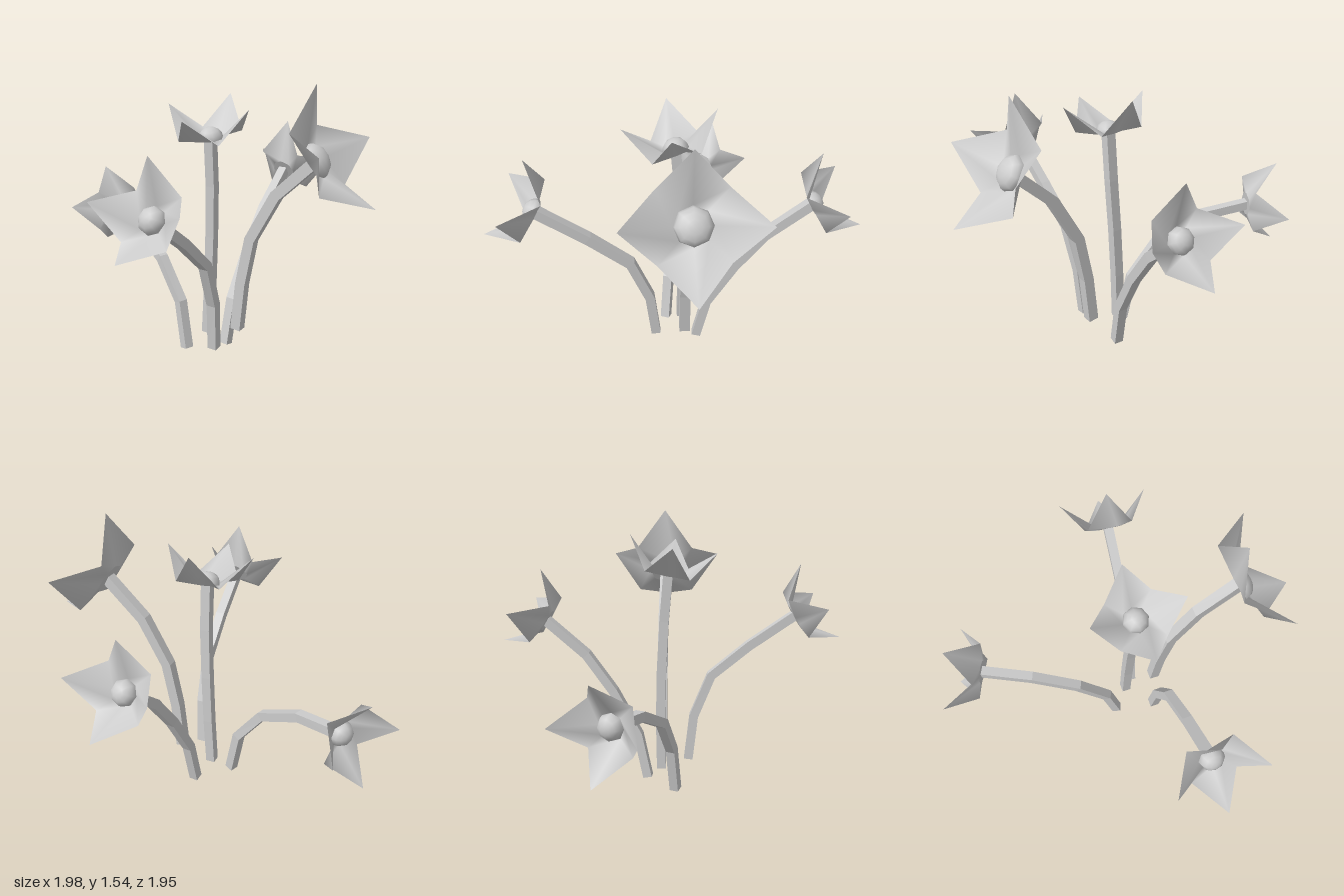
import * as THREE from 'three';

const material = new THREE.MeshStandardMaterial({ color: 0xcccccc });
const flatMaterial = new THREE.MeshStandardMaterial({ color: 0xcccccc, flatShading: true });
const petalMaterial = new THREE.MeshStandardMaterial({ color: 0xcccccc, side: THREE.DoubleSide });

const BASE = -0.012; // height of the cup's inner ring below the petal valleys
const CORE = 0.068; // radius of the flower's centre

function meshGeometry(positions, indices) {
  const g = new THREE.BufferGeometry();
  g.setAttribute('position', new THREE.Float32BufferAttribute(positions, 3));
  g.setIndex(indices);
  g.computeVertexNormals();
  return g;
}

// Square stem swept along a bent path
function makeStem(path, side, half) {
  const pts = path.map((p) => new THREE.Vector3(...p));
  const last = pts.length - 1;
  const pos = [], idx = [];
  pts.forEach((p, i) => {
    const before = pts[Math.max(i - 1, 0)], after = pts[Math.min(i + 1, last)];
    const tangent = after.clone().sub(before).normalize();
    const b = tangent.clone().cross(side).normalize();
    const s = b.clone().cross(tangent);
    for (const [u, v] of [[1, 1], [-1, 1], [-1, -1], [1, -1]]) {
      pos.push(...p.clone().addScaledVector(s, u * half).addScaledVector(b, v * half).toArray());
    }
    if (i === last) return;
    for (let j = 0; j < 4; j++) {
      const a = i * 4 + j, c = i * 4 + ((j + 1) % 4);
      idx.push(a, c, c + 4, a, c + 4, a + 4);
    }
  });
  const e = last * 4;
  idx.push(0, 3, 2, 0, 2, 1, e, e + 1, e + 2, e, e + 2, e + 3);
  const mesh = new THREE.Mesh(meshGeometry(pos, idx).toNonIndexed(), flatMaterial);
  mesh.geometry.computeVertexNormals();
  mesh.name = 'stem';
  return mesh;
}

// Four pointed petals: an inner ring and an outer ring alternating tips and valleys
function petalGeometry() {
  const pos = [], idx = [];
  for (let i = 0; i < 8; i++) {
    const a = (i * Math.PI) / 4;
    const tip = i % 2 === 0;
    const r = tip ? 0.243 : 0.173;
    pos.push(CORE * Math.cos(a), BASE, CORE * Math.sin(a));
    pos.push(r * Math.cos(a), tip ? 0.16 : 0, r * Math.sin(a));
    const p = i * 2, q = ((i + 1) % 8) * 2;
    idx.push(p, q, q + 1, p, q + 1, p + 1);
  }
  return meshGeometry(pos, idx);
}

function makeBlossom(centre, axis, up, width) {
  const blossom = new THREE.Group();
  blossom.name = 'blossom';

  const petals = new THREE.Mesh(petalGeometry(), petalMaterial);
  petals.name = 'petals';

  // Domed centre with a flat underside
  const dome = new THREE.Mesh(
    new THREE.SphereGeometry(CORE, 8, 4, 0, Math.PI * 2, 0, Math.PI / 2), material);
  dome.scale.y = 0.9;
  dome.position.y = BASE;
  dome.name = 'flowerCentre';
  const under = new THREE.Mesh(new THREE.CircleGeometry(CORE, 8), material);
  under.rotation.x = Math.PI / 2;
  under.position.y = BASE;
  under.name = 'flowerUnderside';
  blossom.add(petals, dome, under);

  // Point the blossom's y along its axis
  const y = new THREE.Vector3(...axis).normalize();
  const x = new THREE.Vector3(...up).cross(y).normalize();
  const z = x.clone().cross(y);
  blossom.quaternion.setFromRotationMatrix(new THREE.Matrix4().makeBasis(x, y, z));
  blossom.position.set(...centre);
  blossom.scale.set(width, 1, width);
  return blossom;
}

const FLOWERS = [
  {
    name: 'topFlower', axis: [0, 0.98, 0.2], up: [0, 0, 1], side: [1, 0, 0],
    path: [[0.07, 0.1, -0.05], [0.08, 0.39, -0.055], [0.09, 0.68, -0.05], [0.1, 0.97, -0.035], [0.1, 1.243, -0.012]],
  },
  {
    name: 'leftFlower', axis: [0.866, 0.5, 0], side: [0, 0, 1], width: 1.36, half: 0.029,
    path: [[0.26, 0.165, -0.055], [0.285, 0.44, -0.055], [0.335, 0.705, -0.055], [0.475, 0.965, -0.055], [0.69, 1.172, -0.055]],
  },
  {
    name: 'frontFlower', axis: [0.01, 0.5, 0.866], side: [1, 0, 0],
    path: [[0.205, 0.1, 0.105], [0.215, 0.37, 0.135], [0.225, 0.62, 0.235], [0.235, 0.8, 0.45], [0.24, 0.985, 0.71]],
  },
  {
    name: 'backFlower', axis: [0.09, 0.5, -0.86], side: [1, 0, 0.1],
    path: [[0.14, 0.006, -0.135], [0.15, 0.27, -0.19], [0.17, 0.535, -0.335], [0.185, 0.75, -0.49], [0.2, 0.95, -0.722]],
  },
  {
    name: 'rightFlower', axis: [-0.897, 0.02, -0.443], side: [0.36, 0, -0.93],
    path: [[-0.02, 0.007, 0.035], [-0.075, 0.275, 0.015], [-0.235, 0.495, -0.03], [-0.475, 0.625, -0.125], [-0.738, 0.668, -0.24]],
  },
];

export function createModel() {
  const model = new THREE.Group();
  model.name = 'flowers';
  for (const { name, axis, up = [0, 1, 0], side, path, width = 1, half = 0.026 } of FLOWERS) {
    const flower = new THREE.Group();
    flower.name = name;
    flower.add(makeStem(path, new THREE.Vector3(...side).normalize(), half));
    flower.add(makeBlossom(path[path.length - 1], axis, up, width));
    model.add(flower);
  }
  return model;
}
